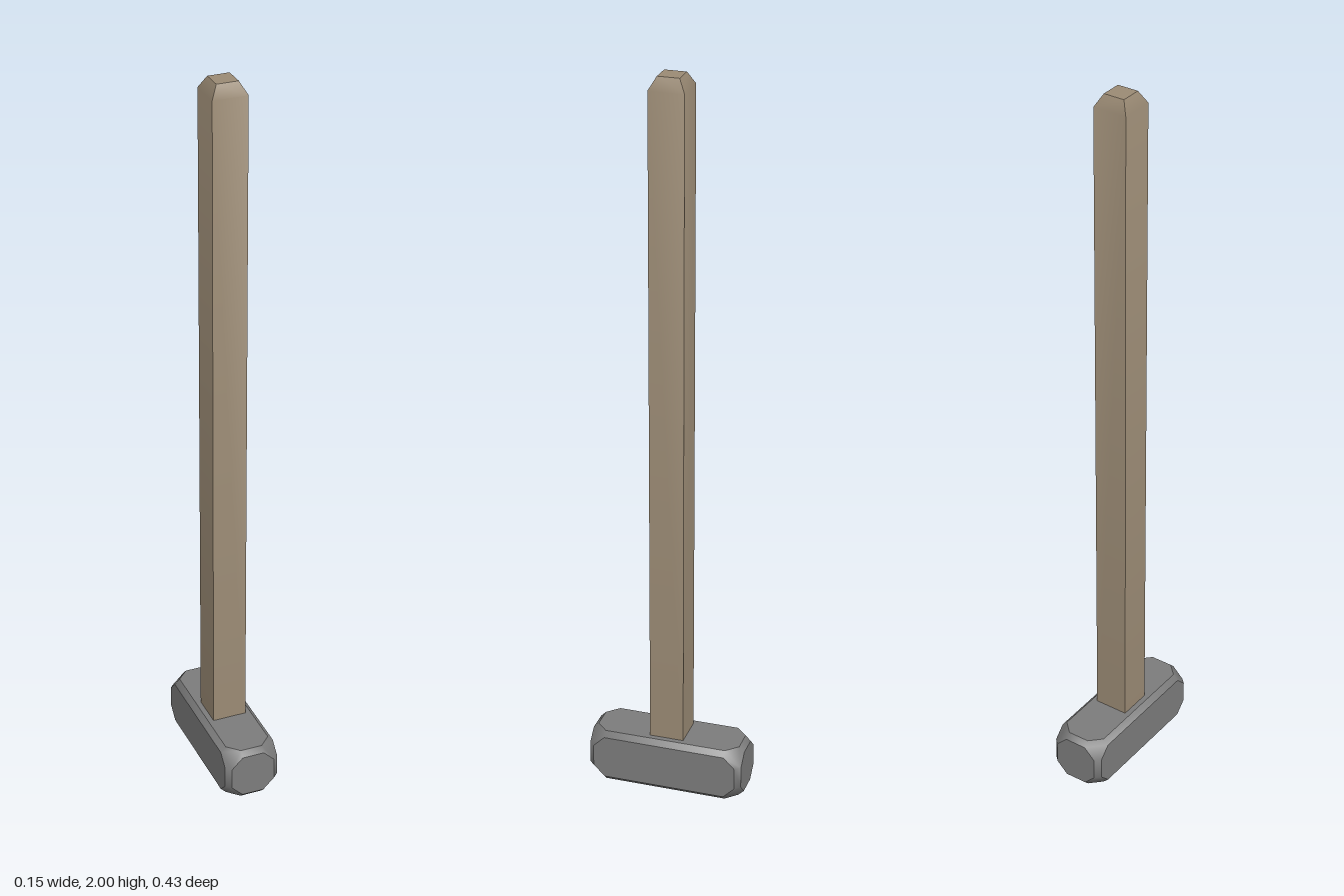
import * as THREE from 'three';
import { ConvexGeometry } from 'three/addons/geometries/ConvexGeometry.js';
import { toCreasedNormals } from 'three/addons/utils/BufferGeometryUtils.js';

const steel = new THREE.MeshStandardMaterial({ name: 'steel', color: 0x7c7c7c });
const wood = new THREE.MeshStandardMaterial({ name: 'wood', color: 0x9a8a74 });

// Bevels blend into their neighbours, broad faces stay crisp
const CREASE = THREE.MathUtils.degToRad(40);

function solid(name, points, material) {
  const mesh = new THREE.Mesh(toCreasedNormals(new ConvexGeometry(points), CREASE), material);
  mesh.name = name;
  return mesh;
}

// Box with bevelled edges and cut corners, so that every main face is an octagon
function bevelledBlock(half, bevel, cut) {
  const points = [];
  for (const sx of [-1, 1]) for (const sy of [-1, 1]) for (const sz of [-1, 1]) {
    for (let axis = 0; axis < 3; axis++) {
      for (const cutAxis of [(axis + 1) % 3, (axis + 2) % 3]) {
        const p = half.map((h, i) => h - (i === axis ? 0 : bevel) - (i === cutAxis ? cut : 0));
        points.push(new THREE.Vector3(p[0] * sx, p[1] * sy, p[2] * sz));
      }
    }
  }
  return points;
}

// Square bar with a tapered tip, given as [half width, height] levels
function squareBar(levels) {
  return levels.flatMap(([w, y]) =>
    [[-w, -w], [w, -w], [w, w], [-w, w]].map(([x, z]) => new THREE.Vector3(x, y, z)));
}

export function createModel() {
  const group = new THREE.Group();
  group.name = 'sledgehammer';

  // Head resting on the ground, long axis front to back
  const head = solid('head', bevelledBlock([0.076, 0.076, 0.215], 0.0145, 0.031), steel);
  head.position.y = 0.076;
  group.add(head);

  // Upright handle, seated inside the head
  group.add(solid('handle', squareBar([[0.047, 0.076], [0.047, 1.967], [0.029, 2]]), wood));

  return group;
}
